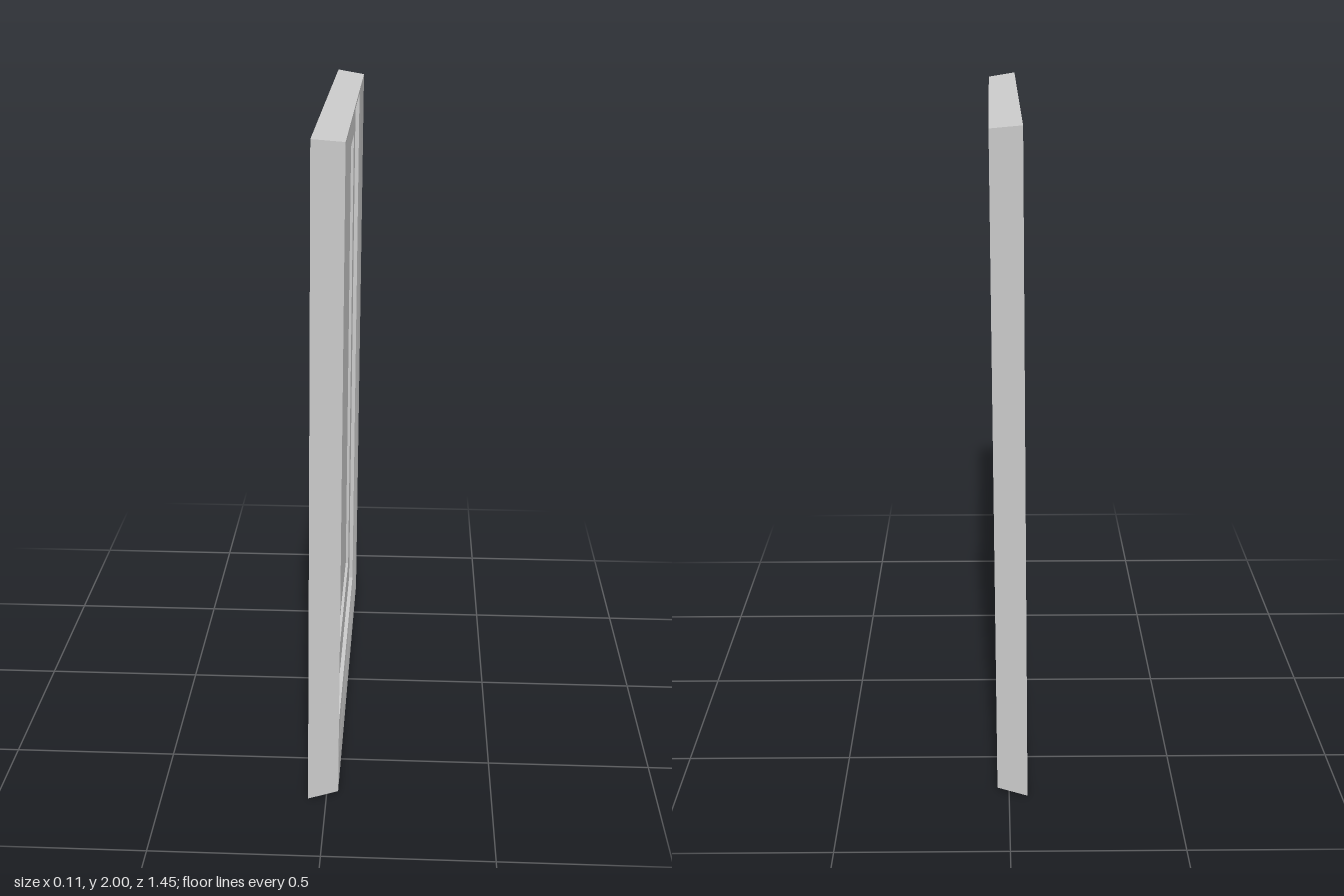
import * as THREE from 'three';
import { toCreasedNormals } from 'three/addons/utils/BufferGeometryUtils.js';

const material = new THREE.MeshStandardMaterial({ color: 0xcccccc });

// Rectangular ring profile: each entry is [x, half width, half height, centre z, centre y].
// Consecutive rings are bridged; ordered from outside to inside as seen from the front (+x).
function rectLoft(name, rings, closed) {
  const corners = rings.map(([x, w, h, cz = 0, cy = 0]) => [
    [x, cy - h, cz + w], [x, cy - h, cz - w], [x, cy + h, cz - w], [x, cy + h, cz + w],
  ]);
  const positions = [];
  const spans = closed ? rings.length : rings.length - 1;
  for (let i = 0; i < spans; i++) {
    const a = corners[i];
    const b = corners[(i + 1) % rings.length];
    for (let j = 0; j < 4; j++) {
      const k = (j + 1) % 4;
      positions.push(...a[j], ...a[k], ...b[k], ...a[j], ...b[k], ...b[j]);
    }
  }
  const geometry = new THREE.BufferGeometry();
  geometry.setAttribute('position', new THREE.Float32BufferAttribute(positions, 3));
  const mesh = new THREE.Mesh(toCreasedNormals(geometry, 0.45), material);
  mesh.name = name;
  return mesh;
}

function panel(name, x0, x1, w, h, cz = 0, cy = 0) {
  const mesh = new THREE.Mesh(new THREE.BoxGeometry(x1 - x0, 2 * h, 2 * w), material);
  mesh.position.set((x0 + x1) / 2, cy, cz);
  mesh.name = name;
  return mesh;
}

export function createModel() {
  const body = new THREE.Group();
  body.name = 'pictureFrame';

  // Moulding: tapered outer wall, coved front lip, rebate and back rim
  body.add(rectLoft('frameMoulding', [
    [-0.045, 0.723, 0.998],
    [0.045, 0.694, 0.987],
    [0.044, 0.678, 0.970, 0.004, 0.003],
    [0.040, 0.665, 0.955, 0.007, 0.005],
    [0.035, 0.648, 0.939, 0.009, 0.006],
    [0.033, 0.632, 0.923, 0.010, 0.007],
    [0.012, 0.632, 0.923, 0.010, 0.007],
    [-0.032, 0.668, 0.940],
    [-0.045, 0.668, 0.940],
  ], true));

  // Mat board with a bevelled window
  body.add(rectLoft('matBoard', [
    [0.020, 0.640, 0.930, 0.010, 0.007],
    [0.020, 0.517, 0.804, 0.010, 0.003],
    [0.010, 0.513, 0.800, 0.010, 0.003],
  ], false));

  // Picture behind the window and backing board in the rear recess
  body.add(panel('picture', 0.002, 0.011, 0.53, 0.82, 0.010, 0.003));
  body.add(panel('backingBoard', -0.036, -0.02, 0.667, 0.939));

  // The frame leans slightly forward and sits a touch askew
  body.position.y = 1;
  body.rotation.set(0.0027, 0, -0.01);

  const model = new THREE.Group();
  model.name = 'framedPicture';
  model.add(body);
  return model;
}
